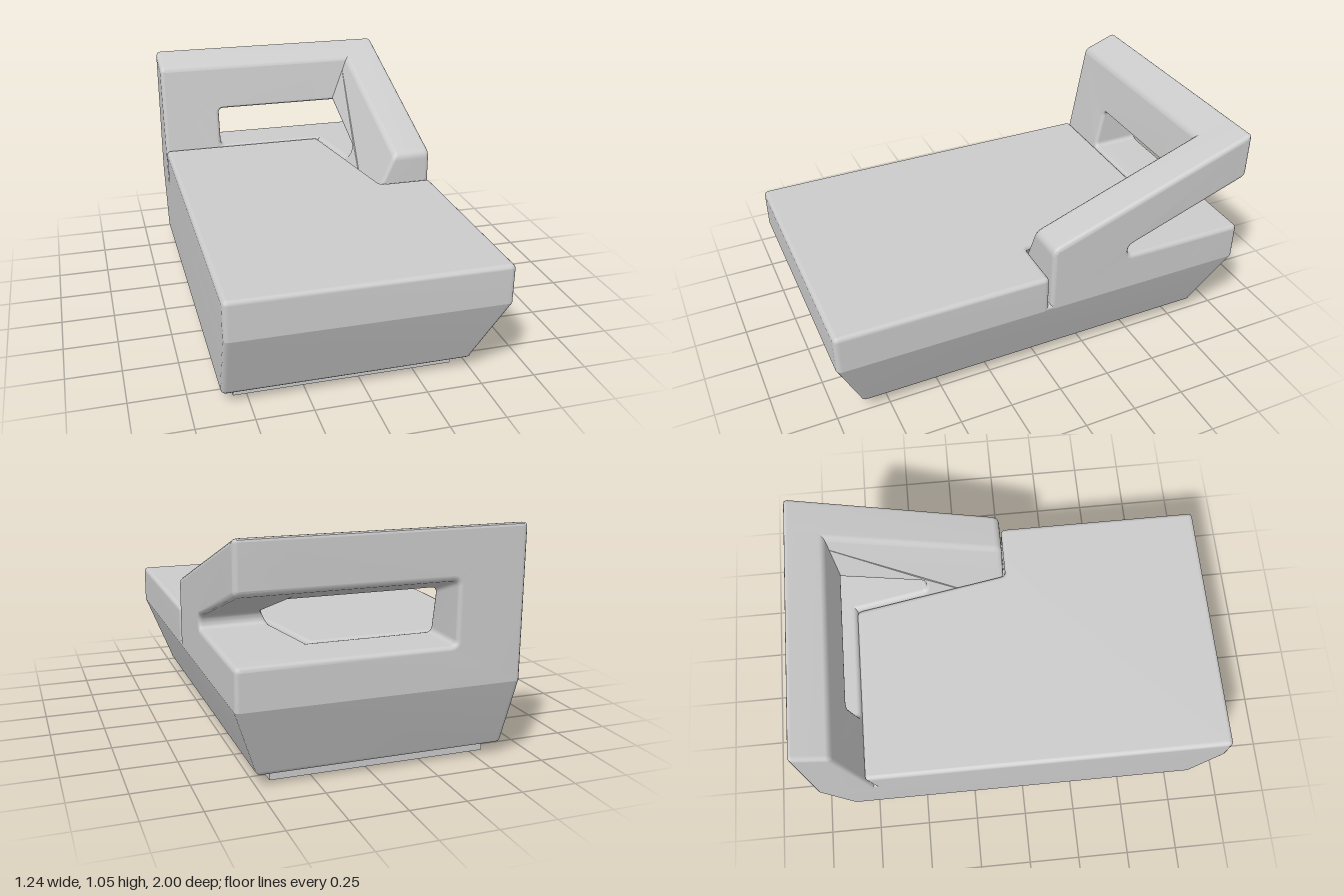
import * as THREE from 'three';

const R = 0.02; // edge rounding
const SEAM = 0.38; // height where the upper parts meet the tapered base
const material = new THREE.MeshStandardMaterial({ color: 0xcccccc });

// Closed outline from [x, y, cornerRadius] points
function outline(points) {
  const shape = new THREE.Shape();
  const n = points.length;
  points.forEach(([x, y, r = 0.025], i) => {
    const p = new THREE.Vector2(x, y);
    const toward = (q) => new THREE.Vector2(q[0], q[1]).sub(p).setLength(r).add(p);
    const a = toward(points[(i + n - 1) % n]);
    const b = toward(points[(i + 1) % n]);
    if (i === 0) shape.moveTo(a.x, a.y);
    else shape.lineTo(a.x, a.y);
    if (r > 0) shape.quadraticCurveTo(x, y, b.x, b.y);
  });
  shape.closePath();
  return shape;
}

// Area-weighted smooth normals that keep edges above the crease angle sharp
function creasedNormals(geometry, crease = 0.7) {
  const pos = geometry.attributes.position;
  const faces = new Map();
  const key = (v) => [v.x, v.y, v.z].map((c) => Math.round(c * 1e4)).join();
  const corner = (i) => new THREE.Vector3().fromBufferAttribute(pos, i);
  const cross = [];
  for (let i = 0; i < pos.count; i += 3) {
    const [a, b, c] = [corner(i), corner(i + 1), corner(i + 2)];
    const n = b.clone().sub(a).cross(c.clone().sub(a));
    cross.push(n);
    for (const v of [a, b, c]) {
      const k = key(v);
      if (!faces.has(k)) faces.set(k, []);
      faces.get(k).push(n);
    }
  }
  for (let i = 0; i < pos.count; i++) {
    const own = cross[Math.floor(i / 3)];
    const sum = new THREE.Vector3();
    for (const n of faces.get(key(corner(i)))) {
      if (n.lengthSq() > 1e-16 && n.angleTo(own) < crease) sum.add(n);
    }
    if (sum.lengthSq() === 0) sum.set(0, 1, 0);
    sum.normalize();
    geometry.attributes.normal.setXYZ(i, sum.x, sum.y, sum.z);
  }
}

// Rounded slab from an outline; place() orients it, rule() then moves each vertex
function slab(name, points, depth, place, rule) {
  const geometry = new THREE.ExtrudeGeometry(outline(points), {
    depth: depth - 2 * R, curveSegments: 4,
    bevelSize: R, bevelThickness: R, bevelOffset: -R, bevelSegments: 3,
  });
  geometry.translate(0, 0, R);
  place(geometry);
  const pos = geometry.attributes.position;
  const v = new THREE.Vector3();
  for (let i = 0; i < pos.count; i++) {
    v.fromBufferAttribute(pos, i);
    rule(v);
    pos.setXYZ(i, v.x, v.y, v.z);
  }
  creasedNormals(geometry);
  const mesh = new THREE.Mesh(geometry, material);
  mesh.name = name;
  return mesh;
}

// Square off the rounded bottom edge so upper parts sit flush on the base
const flushBottom = (v) => { if (v.y < SEAM + R + 0.005) v.y = SEAM; };

export function createModel() {
  const group = new THREE.Group();
  group.name = 'loungeSeat';

  // Recessed plinth
  const plinth = new THREE.Mesh(new THREE.BoxGeometry(0.99, 0.08, 1.62), material);
  plinth.name = 'plinth';
  plinth.position.set(-0.065, 0.04, 0);
  group.add(plinth);

  // Base, tapering inward on three sides
  group.add(slab('base', [[-0.62, -1], [0.62, -1], [0.62, 1], [-0.62, 1]],
    SEAM + R - 0.055,
    (g) => g.rotateX(-Math.PI / 2).translate(0, 0.055, 0),
    (v) => {
      if (v.y > 0.2) return;
      if (v.x > 0) v.x -= 0.115;
      v.z -= Math.sign(v.z) * 0.12;
    }));

  // Seat cushion, notched around the arm; its hidden walls lean like the frame
  group.add(slab('seatCushion',
    [[-0.62, -1], [0.62, -1], [0.62, -0.005], [0.362, -0.005], [0.235, 0.748], [-0.62, 0.748]],
    0.56 - SEAM,
    (g) => g.rotateX(-Math.PI / 2).translate(0, SEAM, 0),
    (v) => {
      if (v.y < 0.47) {
        if (v.z < 0.05 && v.x > 0.15 && v.x < 0.45) v.x -= 0.08;
        if (v.z < -0.7) v.z += 0.03;
      }
      flushBottom(v);
    }));

  // Backrest: post, ledge and sloping rail, open toward the arm corner
  group.add(slab('backrest',
    [[-0.62, SEAM, 0], [0.62, SEAM, 0], [0.62, 0.56], [-0.315, 0.56],
      [-0.315, 0.835], [0.62, 0.835], [0.62, 1.06], [-0.62, 1.06]],
    0.24,
    (g) => g.translate(0, 0, -1),
    (v) => {
      const upper = v.y > 0.7;
      if (v.z > -0.88) v.z += 0.01 - 0.18 * (v.y - (upper ? 0.07 : 0) - 0.56);
      if (upper) v.y -= 0.36 * (v.z + 1);
      flushBottom(v);
    }));

  // Arm: front block, ledge and rail rising to the back corner
  group.add(slab('armrest',
    [[-0.005, SEAM, 0], [-0.005, 0.702, 0.035], [-1, 1.06], [-1, 0.835],
      [-0.395, 0.615], [-0.395, 0.56], [-1, 0.56], [-1, SEAM, 0]],
    0.245,
    (g) => g.rotateY(-Math.PI / 2).translate(0.62, 0, 0),
    (v) => {
      if (v.x < 0.5) v.x += 0.45 * (v.y - 0.56) + 0.17 * v.z;
      flushBottom(v);
    }));

  return group;
}
